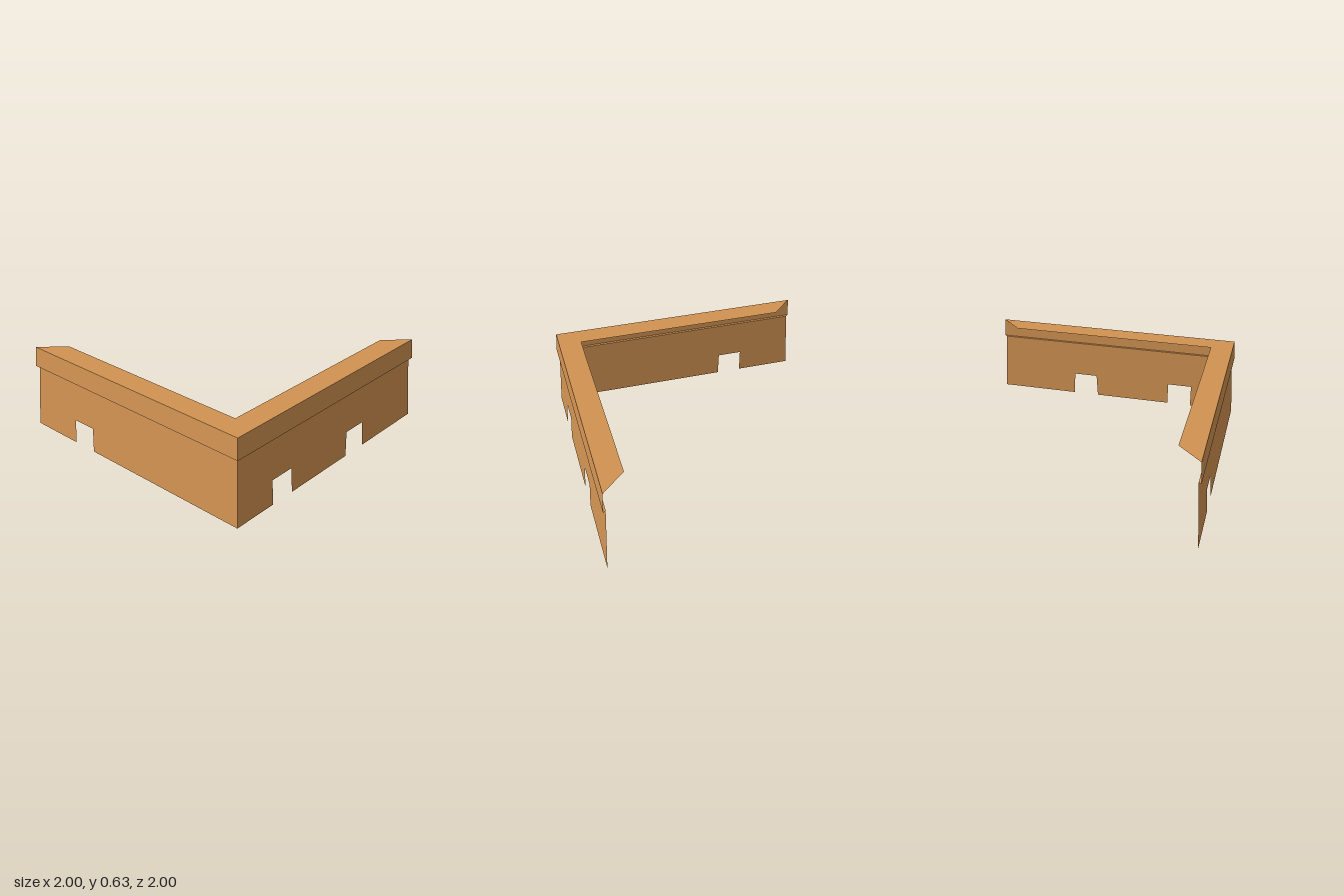
import * as THREE from 'three';

const clay = new THREE.MeshStandardMaterial({ color: 0xd29352, side: THREE.DoubleSide });
clay.name = 'clay';

// Profile heights, and insets from the outer square (ends are mitred by the same inset)
const LEDGE_Y = 0.48, TOP_Y = 0.63, WALL_INSET = 0.03;

// Flat mitred strip between two profile points [inset, height]
function band(name, [dA, yA], [dB, yB]) {
  const a = 1 - dA, b = 1 - dB;
  const g = new THREE.BufferGeometry();
  g.setAttribute('position', new THREE.Float32BufferAttribute(
    [-a, yA, a, a, yA, a, b, yB, b, -b, yB, b], 3));
  g.setIndex([0, 1, 2, 0, 2, 3]);
  g.computeVertexNormals();
  const mesh = new THREE.Mesh(g, clay);
  mesh.name = name;
  return mesh;
}

// Leaning wall sheet with doorways cut up from its lower edge;
// each doorway is [bottomLeft, topLeft, topRight, bottomRight, height]
function wall(doorways) {
  const s = new THREE.Shape();
  s.moveTo(-1, 0);
  for (const [x0, x1, x2, x3, h] of doorways) {
    s.lineTo(x0, 0);
    s.lineTo(x1, h);
    s.lineTo(x2, h);
    s.lineTo(x3, 0);
  }
  s.lineTo(1, 0);
  s.lineTo(1 - WALL_INSET, LEDGE_Y);
  s.lineTo(-1 + WALL_INSET, LEDGE_Y);
  s.closePath();
  const g = new THREE.ShapeGeometry(s);
  const p = g.attributes.position;
  for (let i = 0; i < p.count; i++) p.setZ(i, 1 - WALL_INSET * p.getY(i) / LEDGE_Y);
  g.computeVertexNormals();
  const mesh = new THREE.Mesh(g, clay);
  mesh.name = 'wall';
  return mesh;
}

// One side of the enclosure: wall, overhanging parapet and flat coping
function side(name, doorways) {
  const group = new THREE.Group();
  group.name = name;
  group.add(
    wall(doorways),
    band('ledge', [WALL_INSET, LEDGE_Y], [0.01, LEDGE_Y]),
    band('parapet', [0.01, LEDGE_Y], [0.02, TOP_Y]),
    band('coping', [0.02, TOP_Y], [0.19, TOP_Y]),
  );
  return group;
}

export function createModel() {
  const model = new THREE.Group();
  model.name = 'cornerWall';
  const front = side('frontSide', [
    [-0.65, -0.65, -0.455, -0.455, 0.18],
    [0.16, 0.17, 0.36, 0.37, 0.185],
  ]);
  const right = side('rightSide', [[-0.565, -0.565, -0.375, -0.37, 0.18]]);
  right.rotation.y = -Math.PI / 2;
  model.add(front, right);
  return model;
}
